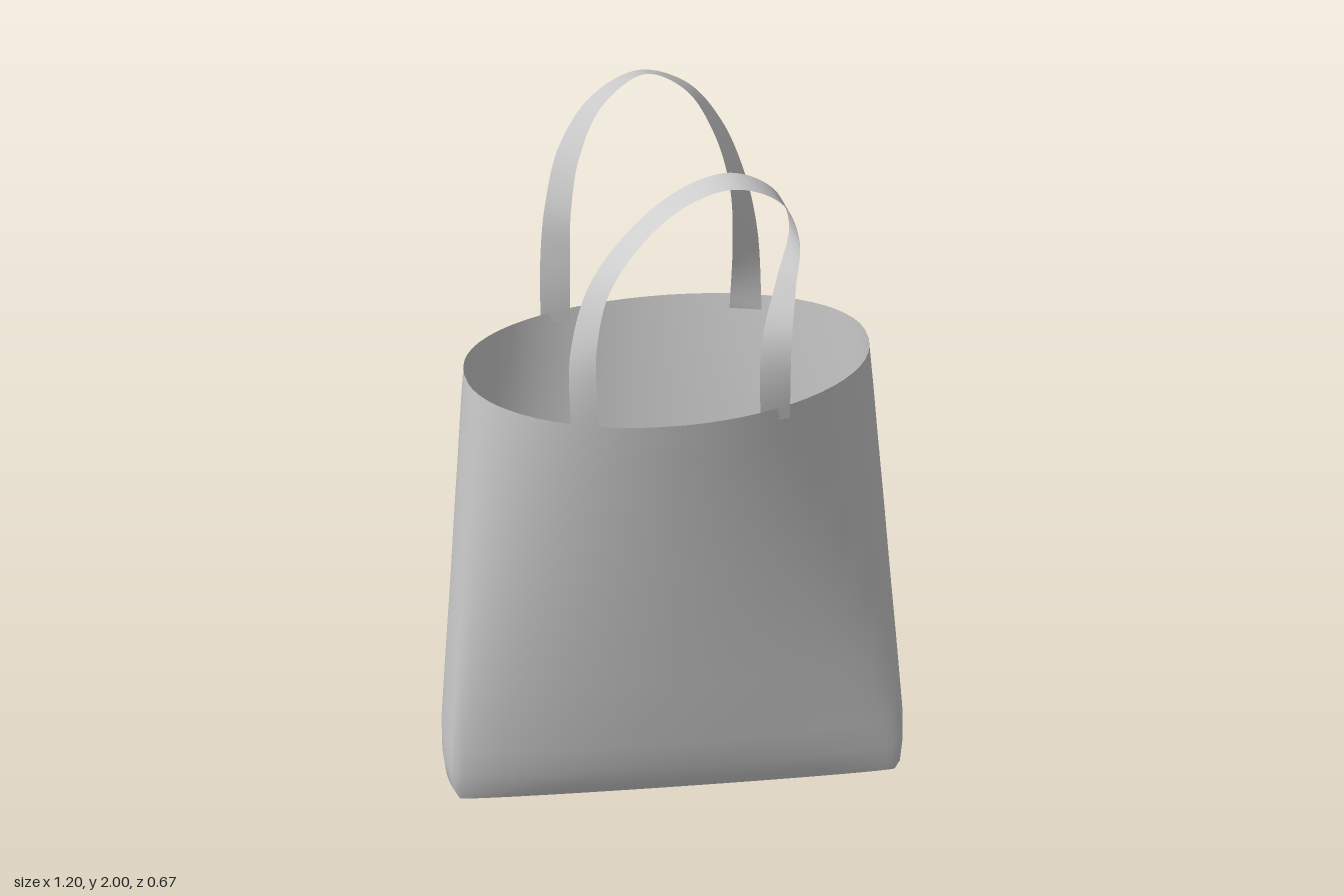
import * as THREE from 'three';
import { toCreasedNormals } from 'three/addons/utils/BufferGeometryUtils.js';

const material = new THREE.MeshStandardMaterial({ color: 0xcccccc, side: THREE.DoubleSide });

// Joins equal-length rows of points into a surface
function loft(rows, closed) {
  const n = rows[0].length;
  const index = [];
  for (let j = 0; j < rows.length - 1; j++) {
    for (let i = 0; i < (closed ? n : n - 1); i++) {
      const k = (i + 1) % n;
      const a = j * n + i, b = j * n + k, c = b + n, d = a + n;
      index.push(a, b, c, a, c, d);
    }
  }
  const geometry = new THREE.BufferGeometry().setFromPoints(rows.flat());
  geometry.setIndex(index);
  geometry.computeVertexNormals();
  return geometry;
}

function addMesh(group, name, geometry) {
  const mesh = new THREE.Mesh(geometry, material);
  mesh.name = name;
  group.add(mesh);
}

// Outline of the bag: bulging front and back with slightly bowed end panels
function ring(halfWidth, endDepth, midDepth, place) {
  const points = [];
  const sides = 32, ends = 6, bow = 0.1 * endDepth;
  for (const s of [1, -1]) {
    for (let i = 0; i <= sides; i++) {
      const a = Math.PI * i / sides;
      const z = endDepth + (midDepth - endDepth) * Math.sin(a);
      points.push(place(-s * Math.cos(a) * (halfWidth - bow), s * z));
    }
    for (let i = 1; i < ends; i++) {
      const v = 1 - 2 * i / ends;
      points.push(place(s * (halfWidth - bow * v * v), s * endDepth * v));
    }
  }
  return points;
}

// Flat ribbon between two edge curves
function strap(edgeA, edgeB) {
  const rows = [edgeA, edgeB].map(points =>
    new THREE.CatmullRomCurve3(points.map(p => new THREE.Vector3(...p))).getPoints(80));
  return loft(rows, false);
}

export function createModel() {
  const bag = new THREE.Group();
  bag.name = 'toteBag';

  // Body: height, half width, end depth, middle depth
  const profile = [
    [0.04, 0.578, 0.085, 0.1], [0.065, 0.592, 0.088, 0.113], [0.12, 0.599, 0.088, 0.133],
    [0.2, 0.6, 0.085, 0.15], [0.4, 0.588, 0.075, 0.182], [0.6, 0.575, 0.063, 0.214],
    [0.8, 0.563, 0.05, 0.246], [1.0, 0.55, 0.036, 0.277], [1.15, 0.541, 0.025, 0.302],
    [1.28, 0.532, 0.014, 0.323],
  ];
  // Slight twist, lean and tilt that fade towards the rim
  const place = (x, y, z) => {
    const t = Math.min(1, y / 1.28);
    return new THREE.Vector3(x - 0.016 * t, y + 0.012 * x + t * (0.05 * x * x + 0.008 * x),
      z + (1 - t) * (0.008 + 0.03 * x));
  };
  const body = profile.map(([y, w, e, m]) => ring(w, e, m, (x, z) => place(x, y, z)));
  addMesh(bag, 'body', toCreasedNormals(loft(body, true), 0.7));

  // Floor, sagging along the middle and flat at the ends
  const floor = [];
  const [edgeY, w, e, m] = profile[0];
  for (let j = 0; j <= 6; j++) {
    const s = j / 6;
    floor.push(ring(w, e, m, (x, z) => {
      const sag = (0.03 - 0.012 * x) * (1 - Math.abs(x / w) ** 6);
      return place(x, edgeY - sag * (1 - s * s), z * s);
    }));
  }
  addMesh(bag, 'floor', toCreasedNormals(loft(floor, true), 0.7));

  // Handles, each twisting from flat against the bag to face up at the top
  addMesh(bag, 'frontHandle', strap(
    [[-0.305, 1.25, 0.265], [-0.305, 1.5, 0.265], [-0.24, 1.72, 0.255], [-0.05, 1.91, 0.212],
      [0.12, 1.962, 0.19], [0.24, 1.9, 0.187], [0.278, 1.8, 0.203], [0.24, 1.67, 0.25],
      [0.195, 1.5, 0.288], [0.19, 1.25, 0.29]],
    [[-0.232, 1.25, 0.284], [-0.245, 1.55, 0.333], [-0.2, 1.72, 0.315], [-0.04, 1.9, 0.282],
      [0.12, 1.957, 0.268], [0.25, 1.9, 0.262], [0.296, 1.79, 0.27], [0.282, 1.66, 0.302],
      [0.268, 1.52, 0.328], [0.27, 1.25, 0.275]]));
  addMesh(bag, 'backHandle', strap(
    [[-0.23, 1.25, -0.28], [-0.235, 1.45, -0.25], [-0.237, 1.62, -0.217], [-0.215, 1.78, -0.222],
      [-0.15, 1.925, -0.243], [-0.035, 2.0, -0.262], [0.07, 1.95, -0.248], [0.14, 1.83, -0.217],
      [0.178, 1.68, -0.2], [0.19, 1.5, -0.225], [0.19, 1.25, -0.285]],
    [[-0.308, 1.25, -0.28], [-0.308, 1.45, -0.283], [-0.295, 1.62, -0.28], [-0.255, 1.78, -0.3],
      [-0.165, 1.91, -0.324], [-0.04, 1.967, -0.338], [0.085, 1.925, -0.325], [0.17, 1.82, -0.298],
      [0.225, 1.68, -0.268], [0.26, 1.5, -0.266], [0.272, 1.25, -0.264]]));

  return bag;
}
